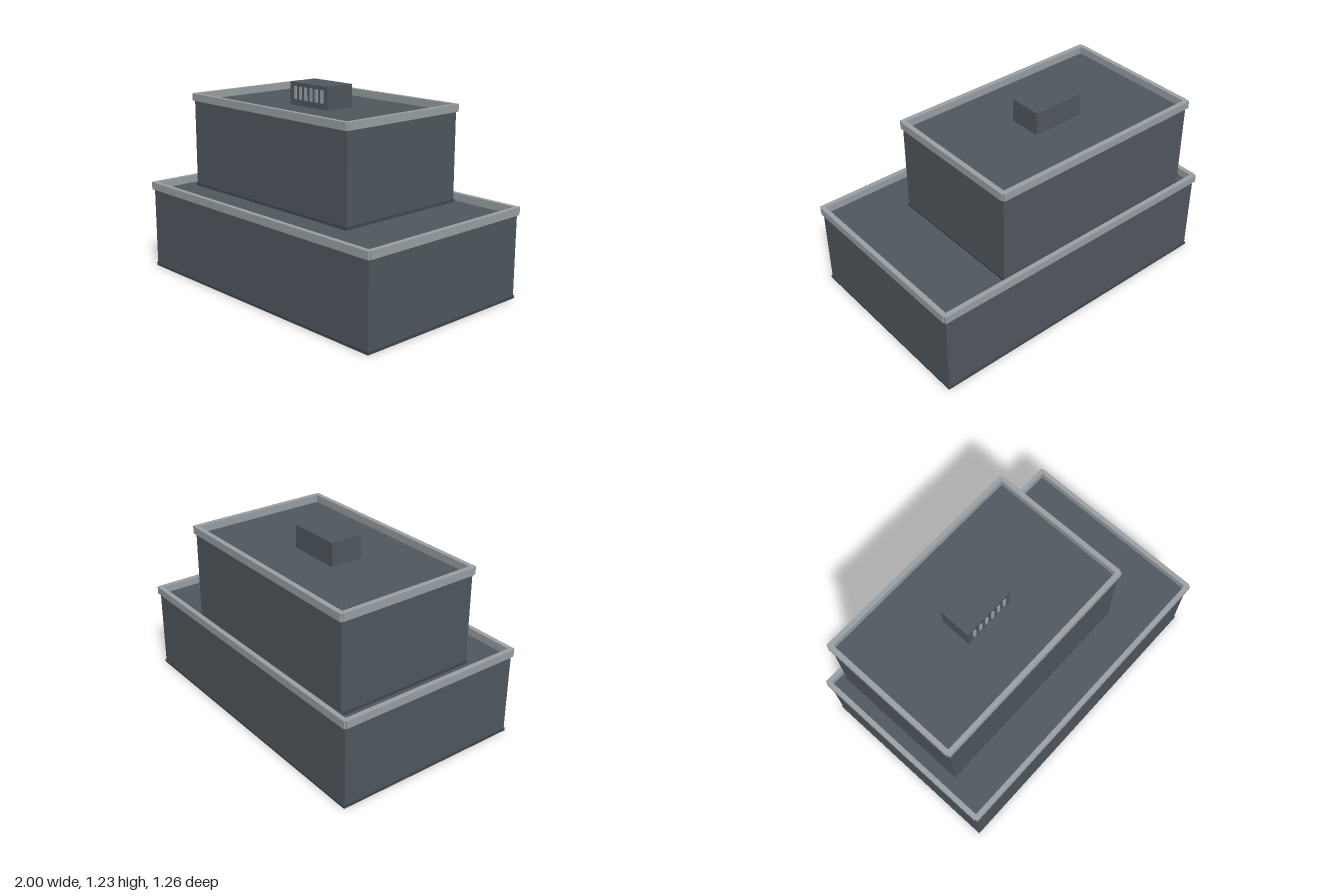
import * as THREE from 'three';

const wallMat = new THREE.MeshStandardMaterial({ name: 'slateWall', color: 0x50585f });
const trimMat = new THREE.MeshStandardMaterial({ name: 'greyTrim', color: 0x9aa0a4 });
const plinthMat = new THREE.MeshStandardMaterial({ name: 'darkPlinth', color: 0x42484e });

// Box given by its minimum and maximum corners
function box(name, mat, [x0, y0, z0], [x1, y1, z1]) {
  const mesh = new THREE.Mesh(new THREE.BoxGeometry(x1 - x0, y1 - y0, z1 - z0), mat);
  mesh.position.set((x0 + x1) / 2, (y0 + y1) / 2, (z0 + z1) / 2);
  mesh.name = name;
  return mesh;
}

// One storey: walls with a flat roof, a plinth strip and a parapet of four rails
function tier(name, x0, x1, z0, z1, y0, y1, railHeight) {
  const group = new THREE.Group();
  group.name = name;
  const out = 0.015, lip = 0.005, notch = 0.008, yTop = y1 + railHeight;
  group.add(
    box('walls', wallMat, [x0, y0, z0], [x1, y1, z1]),
    box('plinth', plinthMat, [x0 - lip, y0, z0 - lip], [x1 + lip, y0 + 0.018, z1 + lip]),
  );
  for (const [side, z] of [['front', z1], ['back', z0]]) {
    group.add(box(side + 'Parapet', trimMat,
      [x0 - notch, y1, z - out], [x1 + notch, yTop, z + out]));
  }
  // Side rails stop against the front and back rails
  for (const [side, x] of [['left', x1], ['right', x0]]) {
    group.add(box(side + 'Parapet', trimMat,
      [x - out, y1, z0 + out], [x + out, yTop, z1 - out]));
    group.add(box(side + 'ParapetFace', trimMat,
      [Math.min(x, x + Math.sign(x) * out), y1, z0],
      [Math.max(x, x + Math.sign(x) * out), yTop, z1]));
  }
  return group;
}

export function createModel() {
  const model = new THREE.Group();
  model.name = 'steppedBuilding';

  model.add(tier('lowerTier', -0.985, 0.985, -0.615, 0.615, 0, 0.52, 0.048));
  model.add(tier('upperTier', -0.885, 0.538, -0.566, 0.346, 0.52, 1.085, 0.047));

  // Rooftop unit with upright louvres on its front
  const unit = new THREE.Group();
  unit.name = 'rooftopUnit';
  unit.add(box('unitHousing', wallMat, [-0.347, 1.085, -0.213], [-0.002, 1.23, -0.008]));
  for (let i = 0; i < 6; i++) {
    const x = -0.297 + i * 0.049;
    unit.add(box('louvre', trimMat, [x - 0.011, 1.125, -0.008], [x + 0.011, 1.205, -0.002]));
  }
  model.add(unit);
  return model;
}
